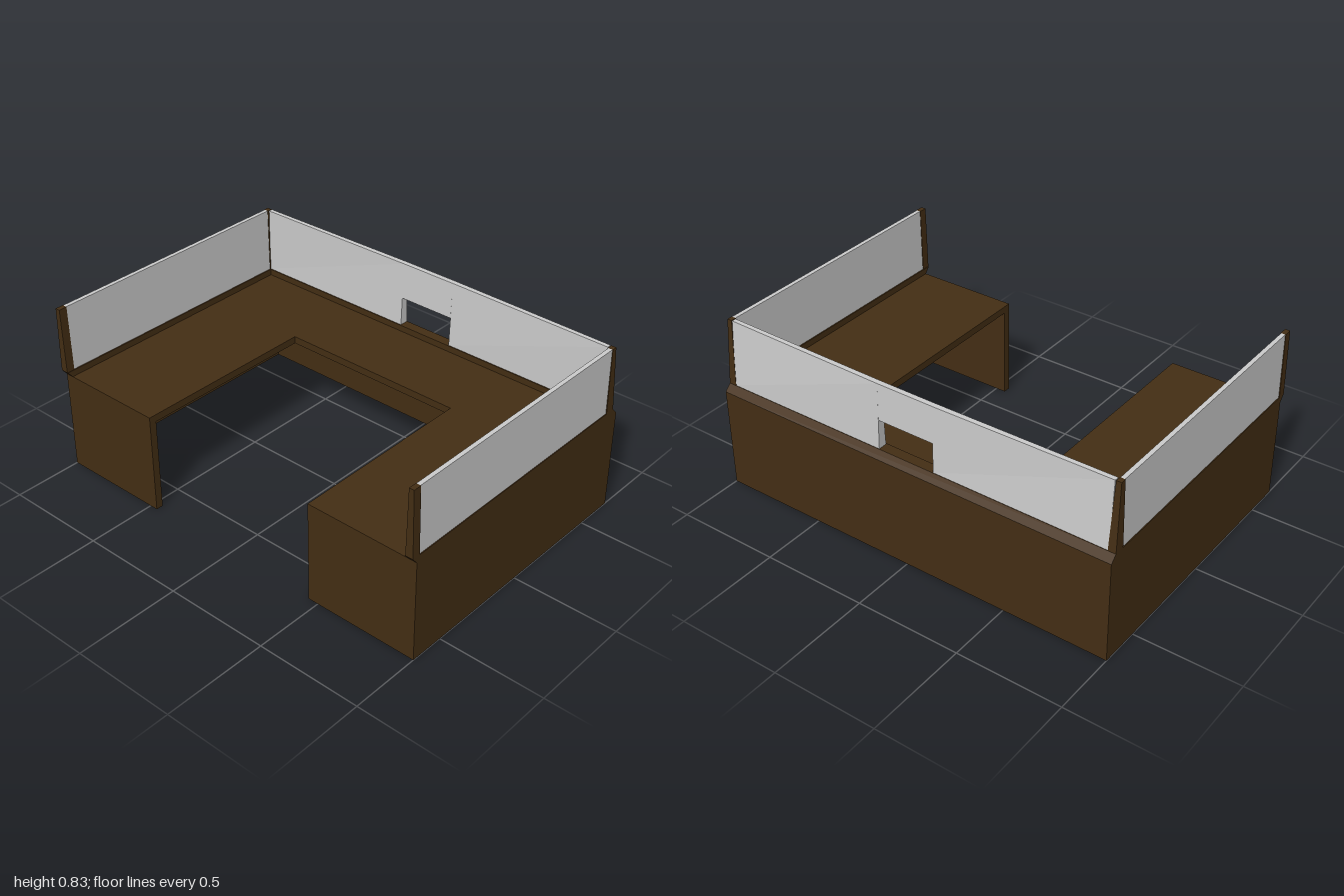
import * as THREE from 'three';

const wood = new THREE.MeshStandardMaterial({ color: 0x442e14, flatShading: true });
const panel = new THREE.MeshStandardMaterial({ color: 0xcccccc, flatShading: true });

// Tapered block: four [x, z] corners at the bottom and at the top,
// ordered (x0,z0) (x1,z0) (x1,z1) (x0,z1).
function block(name, material, bottom, y0, top, y1) {
  const geo = new THREE.BoxGeometry(1, 1, 1);
  const p = geo.attributes.position;
  for (let i = 0; i < p.count; i++) {
    const right = p.getX(i) > 0, near = p.getZ(i) > 0, up = p.getY(i) > 0;
    const k = near ? (right ? 2 : 3) : (right ? 1 : 0);
    const [x, z] = (up ? top : bottom)[k];
    p.setXYZ(i, x, up ? y1 : y0, z);
  }
  geo.computeVertexNormals();
  const mesh = new THREE.Mesh(geo, material);
  mesh.name = name;
  return mesh;
}

const rect = (x0, x1, z0, z1) => [[x0, z0], [x1, z0], [x1, z1], [x0, z1]];

// Same z range with its ends ordered, mirrored for side -1
const sideRect = (s, x0, x1, z0, z1) => (s > 0 ? rect(x0, x1, z0, z1) : rect(x0, x1, -z1, -z0));

export function createModel() {
  const g = new THREE.Group();
  g.name = 'counter';
  const T = 0.035;                               // board thickness
  const H = 0.485, L = 0.515, TOP = 0.83;        // counter, ledge and screen heights
  const add = (...a) => g.add(block(...a));
  const box = (name, r, y0, y1) => add(name, wood, r, y0, r, y1);

  // U-shaped worktop
  const u = new THREE.Shape([
    [-0.665, -1], [0.69, -1], [0.69, 1], [-0.665, 1],
    [-0.665, 0.46], [0.245, 0.46], [0.245, -0.45], [-0.665, -0.45],
  ].map(([x, y]) => new THREE.Vector2(x, y)));
  const worktop = new THREE.Mesh(new THREE.ExtrudeGeometry(u, { depth: T, bevelEnabled: false }), wood);
  worktop.name = 'worktop';
  worktop.rotation.x = -Math.PI / 2;             // shape y becomes -z
  worktop.position.y = H - T;
  g.add(worktop);

  // Outer long wall and its chamfered ledge
  box('longWall', rect(0.69 - T, 0.69, -1, 1), 0, H - T);
  add('longLedge', wood, rect(0.61, 0.69, -1, 1), H, rect(0.61, 0.66, -1, 1), L);

  for (const s of [1, -1]) {
    const inner = s > 0 ? 0.45 : 0.46;
    // Arm: side wall, end panel, ledge
    box('sideWall', sideRect(s, -0.665, 0.69 - T, 1 - T, 1), 0, H - T);
    box('endPanel', sideRect(s, -0.665, -0.665 + T, inner, 1 - T), 0, H - T);
    add('sideLedge', wood, sideRect(s, -0.665, 0.61, 0.96, 1), H, sideRect(s, -0.69, 0.61, 0.96, 1), L);
    // Posts at the free end and at the corner
    add('endPost', wood, sideRect(s, -0.69, -0.65, 0.963, 1), L, sideRect(s, -0.69, -0.65, 0.97, 0.994), TOP);
    add('cornerPost', wood, sideRect(s, 0.61, 0.66, 0.963, 1), L, sideRect(s, 0.61, 0.636, 0.97, 0.994), TOP);
    // Side screen
    add('sideScreen', panel, sideRect(s, -0.65, 0.61, 0.966, 0.996), L, sideRect(s, -0.65, 0.61, 0.972, 0.992), TOP);
  }

  // Long screen with a hatch; its top bows out slightly towards the middle
  const z0 = -0.13, z1 = 0.15, E = 0.966, hatch = 0.655;
  add('longScreen', panel, rect(0.615, 0.658, z1, E), L,
    [[0.625, z1], [0.65, z1], [0.636, E], [0.615, E]], TOP);
  add('longScreen', panel, rect(0.615, 0.658, -E, z0), L,
    [[0.615, -E], [0.636, -E], [0.65, z0], [0.625, z0]], TOP);
  add('hatchHeader', panel, rect(0.619, 0.654, z0, z1), hatch, rect(0.625, 0.65, z0, z1), TOP);

  return g;
}
